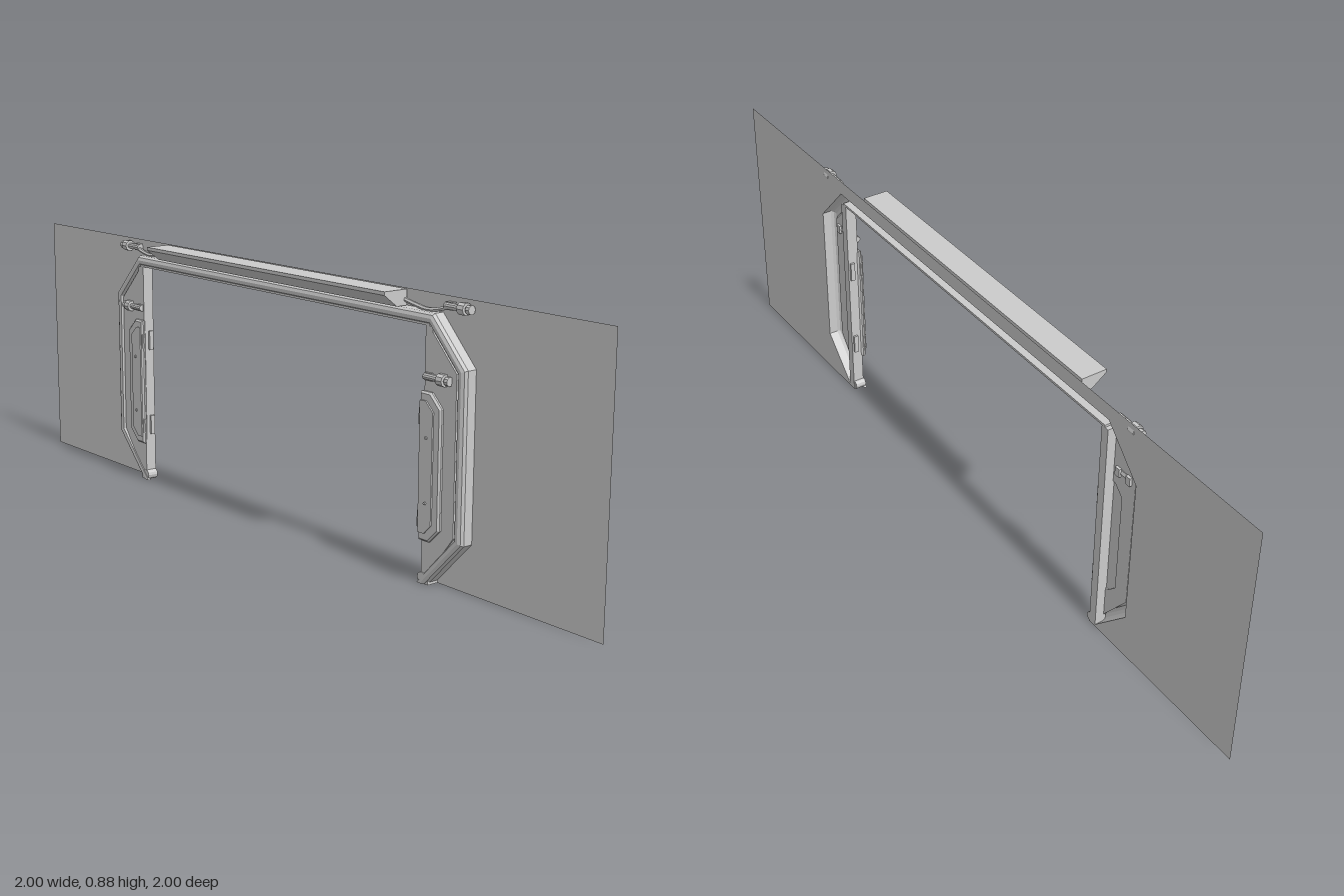
import * as THREE from 'three';

const material = new THREE.MeshStandardMaterial({ color: 0xcccccc, side: THREE.DoubleSide, flatShading: true });

function add(parent, name, geometry, x = 0, y = 0, z = 0) {
  const mesh = new THREE.Mesh(geometry, material);
  mesh.name = name;
  mesh.position.set(x, y, z);
  parent.add(mesh);
  return mesh;
}

const polygon = (points) => new THREE.Shape(points.map(([x, y]) => new THREE.Vector2(x, y)));

// Outline of the doorway, from the right foot over the top to the other foot
const half = [[0.757, 0], [0.905, 0.155], [0.905, 0.68], [0.765, 0.828]];
const outline = [...half, ...half.map(([x, y]) => [-x, y]).reverse()];

// Mitred inset of the outline; the feet stay on the floor
function inset(d) {
  const normal = (i) => {
    const [a, b] = [outline[i], outline[i + 1]];
    const len = Math.hypot(b[0] - a[0], b[1] - a[1]);
    return [-(b[1] - a[1]) / len, (b[0] - a[0]) / len];
  };
  const last = outline.length - 1;
  return outline.map(([x, y], i) => {
    if (i === 0 || i === last) {
      const s = Math.sign(x);
      return [s * Math.max(0.72, Math.abs(x) - d / 0.72), 0];
    }
    const p = normal(i - 1), q = normal(i);
    const k = d / (1 + p[0] * q[0] + p[1] * q[1]);
    return [x + (p[0] + q[0]) * k, y + (p[1] + q[1]) * k];
  });
}

// Sweeps a profile of [inset, depth] pairs along the outline
function sweep(profile) {
  const positions = [], index = [], n = outline.length;
  for (const [d, z] of profile) for (const [x, y] of inset(d)) positions.push(x, y, z);
  for (let r = 0; r < profile.length - 1; r++) {
    for (let i = 0; i < n - 1; i++) {
      const a = r * n + i, b = a + 1, c = a + n, e = c + 1;
      index.push(a, b, e, a, e, c);
    }
  }
  const geometry = new THREE.BufferGeometry();
  geometry.setAttribute('position', new THREE.Float32BufferAttribute(positions, 3));
  geometry.setIndex(index);
  const flat = geometry.toNonIndexed();
  flat.computeVertexNormals();
  return flat;
}

// Half octagon with chamfered outer corners, seen on each jamb
const hatch = (x0, x1, y0, y1, c) =>
  [[x0, y0], [x1 - c, y0], [x1, y0 + c], [x1, y1 - c], [x1 - c, y1], [x0, y1]];

// Pin lying along the wall: thin rod, thick head and a base block
function pin(parent, name, x, y, z) {
  const group = new THREE.Group();
  group.name = name;
  group.position.set(x, y, z);
  parent.add(group);
  const rod = (r, len) => new THREE.CylinderGeometry(r, r, len, 10).rotateZ(Math.PI / 2);
  add(group, 'pinRod', rod(0.01, 0.1));
  add(group, 'pinHead', rod(0.019, 0.026), 0.025);
  add(group, 'pinCap', rod(0.014, 0.014), 0.05);
  add(group, 'pinBase', new THREE.BoxGeometry(0.03, 0.024, 0.014), -0.035, 0, -0.006);
}

function createJamb() {
  const jamb = new THREE.Group();
  jamb.name = 'jamb';

  // Recessed plate with an opening behind the raised cover
  const [, low, high, top] = inset(0.038);
  const plate = polygon([[0.735, 0], [0.745, 0.01], low, high, top, [0.735, 0.8]]);
  plate.holes.push(new THREE.Path(polygon(hatch(0.765, 0.81, 0.15, 0.585, 0.035)).getPoints()));
  add(jamb, 'jambPlate', new THREE.ExtrudeGeometry(plate, { depth: 0.008, bevelEnabled: false }), 0, 0, 0.032);

  // Raised cover and its inner field
  const cover = polygon(hatch(0.735, 0.812, 0.145, 0.59, 0.04));
  add(jamb, 'jambCover', new THREE.ExtrudeGeometry(cover,
    { depth: 0.006, bevelThickness: 0.006, bevelSize: 0.006, bevelSegments: 1 }), 0, 0, 0.042);
  const field = polygon(hatch(0.735, 0.79, 0.165, 0.57, 0.03));
  add(jamb, 'coverField', new THREE.ExtrudeGeometry(field, { depth: 0.005, bevelEnabled: false }), 0, 0, 0.054);

  // Inner edge, foot and hinge plates
  add(jamb, 'jambEdge', new THREE.BoxGeometry(0.03, 0.79, 0.04), 0.75, 0.395, 0.02);
  add(jamb, 'foot', new THREE.CylinderGeometry(0.018, 0.018, 0.04, 12).rotateX(Math.PI / 2), 0.738, 0.018, 0.022);
  for (const y of [0.205, 0.52]) {
    add(jamb, 'hingePlate', new THREE.BoxGeometry(0.01, 0.07, 0.016), 0.732, y, 0.014);
    add(jamb, 'hingeKnuckle', new THREE.CylinderGeometry(0.006, 0.006, 0.05, 8), 0.731, y, 0.05);
  }
  // Small bolts on the cover and behind the plate
  for (const y of [0.26, 0.46]) {
    add(jamb, 'coverBolt', new THREE.CylinderGeometry(0.005, 0.005, 0.006, 8).rotateX(Math.PI / 2), 0.765, y, 0.06);
  }
  for (const x of [0.79, 0.84]) add(jamb, 'backBolt', new THREE.BoxGeometry(0.02, 0.03, 0.01), x, 0.64, 0.028);

  // Pins and the cable running to the canopy
  pin(jamb, 'jambPin', 0.79, 0.64, 0.046);
  pin(jamb, 'upperPin', 0.84, 0.853, 0.016);
  const cable = new THREE.CatmullRomCurve3([[0.61, 0.85], [0.66, 0.84], [0.72, 0.832], [0.77, 0.84], [0.81, 0.853]]
    .map(([x, y]) => new THREE.Vector3(x, y, 0.016)));
  add(jamb, 'cable', new THREE.TubeGeometry(cable, 16, 0.007, 6));
  return jamb;
}

export function createModel() {
  const model = new THREE.Group();
  model.name = 'doorwayWall';
  const body = new THREE.Group();
  body.name = 'doorway';
  body.rotation.y = -Math.PI / 4; // the wall stands on the diagonal
  model.add(body);

  // Thin wall around the doorway
  const L = Math.SQRT2;
  const wall = polygon([...outline, [-L, 0], [-L, 0.88], [L, 0.88], [L, 0]]);
  add(body, 'wall', new THREE.ShapeGeometry(wall));

  // Folded rim around the doorway, open at the back
  add(body, 'rim', sweep([[0, 0], [0, 0.032], [0.006, 0.041], [0.016, 0.045], [0.028, 0.044], [0.034, 0.036], [0.038, 0.034]]));

  // Underside of the lintel
  add(body, 'lintel', new THREE.BoxGeometry(1.5, 0.008, 0.04), 0, 0.794, 0.02);

  // Canopy over the doorway
  const canopy = polygon([[0.01, 0.83], [0.05, 0.83], [0.1, 0.868], [0.1, 0.879], [0.01, 0.879]]);
  add(body, 'canopy', new THREE.ExtrudeGeometry(canopy, { depth: 1.24, bevelEnabled: false }).rotateY(-Math.PI / 2), 0.62);

  // Mirrored jambs
  const left = createJamb();
  const right = createJamb();
  left.name = 'leftJamb';
  right.name = 'rightJamb';
  right.scale.x = -1;
  body.add(left, right);
  return model;
}
